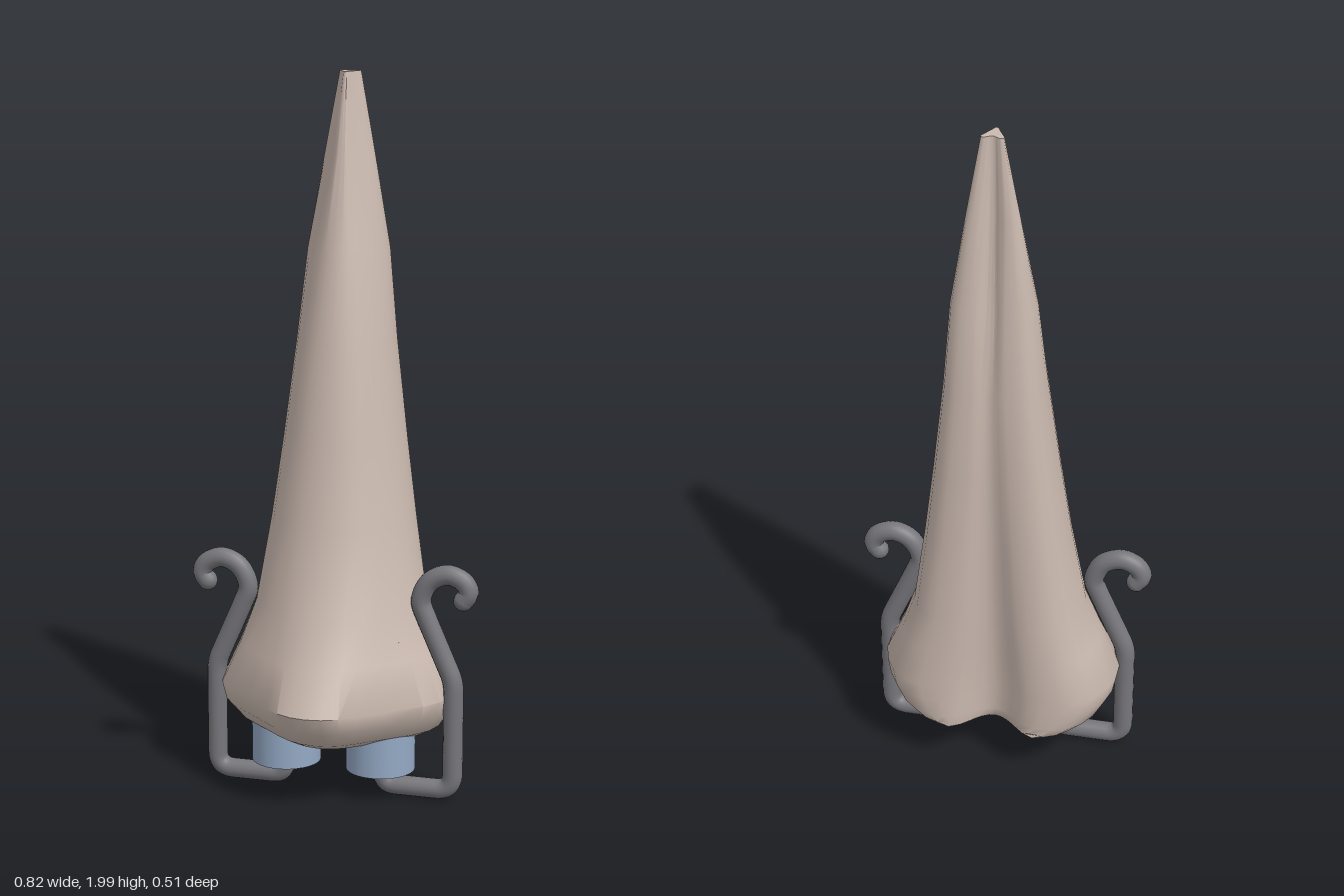
import * as THREE from 'three';
import { toCreasedNormals } from 'three/addons/utils/BufferGeometryUtils.js';

const { lerp, clamp } = THREE.MathUtils;
const mat = (color) => new THREE.MeshStandardMaterial({ color, roughness: 0.8 });
const V = (x, y, z = -0.027) => new THREE.Vector3(x, y, z);

// Half outlines from front to rear groove: [part of half width, part of depth]
// flared base, rounded middle, wedge-shaped tip
const LOW = [[0, 0], [0.13, 0.012], [0.26, 0.05], [0.38, 0.11], [0.6, 0.24], [0.84, 0.38], [0.95, 0.48], [1, 0.59],
  [1, 0.7], [0.96, 0.8], [0.87, 0.9], [0.75, 0.97], [0.6, 1], [0.45, 1], [0.34, 1], [0.25, 1], [0.17, 1], [0.08, 1], [0, 1]];
const MID = [[0, 0], [0.17, 0.01], [0.33, 0.035], [0.49, 0.08], [0.7, 0.18], [0.86, 0.3], [0.95, 0.42], [0.99, 0.53],
  [1, 0.63], [0.98, 0.76], [0.91, 0.88], [0.8, 0.95], [0.64, 1], [0.46, 1], [0.34, 1], [0.25, 1], [0.17, 1], [0.08, 1], [0, 1]];
const HIGH = [[0, 0], [0.12, 0.02], [0.2, 0.08], [0.3, 0.2], [0.5, 0.4], [0.72, 0.6], [0.88, 0.74], [0.97, 0.82],
  [1, 0.88], [0.99, 0.92], [0.95, 0.96], [0.87, 0.99], [0.75, 1], [0.6, 1], [0.45, 1], [0.34, 1], [0.22, 1], [0.11, 1], [0, 1]];

// Levels: y, half width, front z, back z, groove depth, groove half width
const LEVELS = [
  [0.16, 0.2, 0.09, -0.253, 0.065, 0.13],
  [0.175, 0.25, 0.13, -0.255, 0.065, 0.13],
  [0.2, 0.29, 0.18, -0.255, 0.063, 0.13],
  [0.25, 0.322, 0.237, -0.255, 0.06, 0.13],
  [0.3, 0.332, 0.255, -0.255, 0.058, 0.13],
  [0.42, 0.28, 0.197, -0.255, 0.05, 0.12],
  [0.54, 0.238, 0.138, -0.255, 0.042, 0.105],
  [0.78, 0.2, 0.075, -0.255, 0.03, 0.08],
  [1.0, 0.17, 0.04, -0.255, 0.02, 0.06],
  [1.27, 0.137, -0.002, -0.253, 0.012, 0.045],
  [1.52, 0.114, -0.045, -0.236, 0.022, 0.04],
  [1.78, 0.07, -0.095, -0.207, 0.018, 0.033],
  [2.0, 0.03, -0.135, -0.194, 0.01, 0.022],
];

function bodyGeometry() {
  const pos = [], idx = [], h = LOW.length, n = 2 * h - 2;
  for (const [y, w, front, back, depth, gw] of LEVELS) {
    const toMid = clamp((y - 0.3) / 0.3, 0, 1), toHigh = clamp((y - 1.4) / 0.6, 0, 1);
    const blend = (k, c) => lerp(lerp(LOW[k][c], MID[k][c], toMid), HIGH[k][c], toHigh);
    for (let i = 0; i < n; i++) {
      const k = i < h ? i : n - i, side = i < h ? 1 : -1;
      const x = w * blend(k, 0);
      const bell = k > 8 && x < gw ? 0.5 + 0.5 * Math.cos(Math.PI * x / gw) : 0;
      // lower rim lifts where it meets the groove
      const lift = y < 0.17 ? 0.012 * bell : 0;
      pos.push(side * x, y + lift, lerp(front, back, blend(k, 1)) + depth * bell);
    }
  }
  const rows = LEVELS.length;
  for (let r = 0; r < rows - 1; r++) {
    for (let i = 0; i < n; i++) {
      const a = r * n + i, b = r * n + (i + 1) % n, c = a + n, d = b + n;
      idx.push(a, b, d, a, d, c);
    }
  }
  // underside and tip caps
  const bottom = pos.length / 3, top = bottom + 1, last = (rows - 1) * n;
  pos.push(0, 0.17, -0.08, 0, 2, -0.165);
  for (let i = 0; i < n; i++) {
    const j = (i + 1) % n;
    idx.push(bottom, j, i, top, last + i, last + j);
  }
  const g = new THREE.BufferGeometry();
  g.setAttribute('position', new THREE.Float32BufferAttribute(pos, 3));
  g.setIndex(idx);
  return toCreasedNormals(g, 0.7);
}

// Bent rod: short upturn, foot, upright, slanted arm and curled end
function rodPath() {
  const p = new THREE.CurvePath();
  const line = (a, b) => p.add(new THREE.LineCurve3(a, b));
  const bend = (a, b, c) => p.add(new THREE.QuadraticBezierCurve3(a, b, c));
  line(V(0.142, 0.13), V(0.142, 0.07));
  bend(V(0.142, 0.07), V(0.142, 0.033), V(0.18, 0.033));
  line(V(0.18, 0.033), V(0.295, 0.033));
  bend(V(0.295, 0.033), V(0.343, 0.033), V(0.343, 0.08));
  line(V(0.343, 0.08), V(0.343, 0.32));
  bend(V(0.343, 0.32), V(0.343, 0.345), V(0.333, 0.37));
  line(V(0.333, 0.37), V(0.267, 0.52));
  p.add(new THREE.CatmullRomCurve3([V(0.267, 0.52), V(0.249, 0.575), V(0.275, 0.632), V(0.325, 0.653),
    V(0.37, 0.635), V(0.383, 0.605), V(0.368, 0.583)]));
  return p;
}

export function createModel() {
  const group = new THREE.Group();
  const rodMat = mat(0x77767b), plugMat = mat(0x94a9c4);

  const body = new THREE.Mesh(bodyGeometry(), mat(0xcbbab0));
  body.name = 'taperedBody';
  group.add(body);

  for (const side of [1, -1]) {
    const label = side > 0 ? 'left' : 'right';

    // cylinder set into the underside
    const plug = new THREE.Mesh(new THREE.CylinderGeometry(0.097, 0.097, 0.39, 32), plugMat);
    plug.position.set(side * 0.137, 0.277, -0.022);
    plug.name = label + 'Plug';
    group.add(plug);

    // hooked rod with rounded end
    const hook = new THREE.Group();
    hook.name = label + 'Hook';
    const path = rodPath();
    const rod = new THREE.Mesh(new THREE.TubeGeometry(path, 110, 0.028, 14), rodMat);
    rod.name = label + 'Rod';
    const tip = new THREE.Mesh(new THREE.SphereGeometry(0.028, 14, 10), rodMat);
    tip.position.copy(path.getPoint(1));
    tip.name = label + 'RodTip';
    hook.add(rod, tip);
    // half turn about the upright axis mirrors the flat bend
    if (side < 0) {
      hook.rotation.y = Math.PI;
      hook.position.z = -0.054;
    }
    group.add(hook);
  }
  return group;
}
